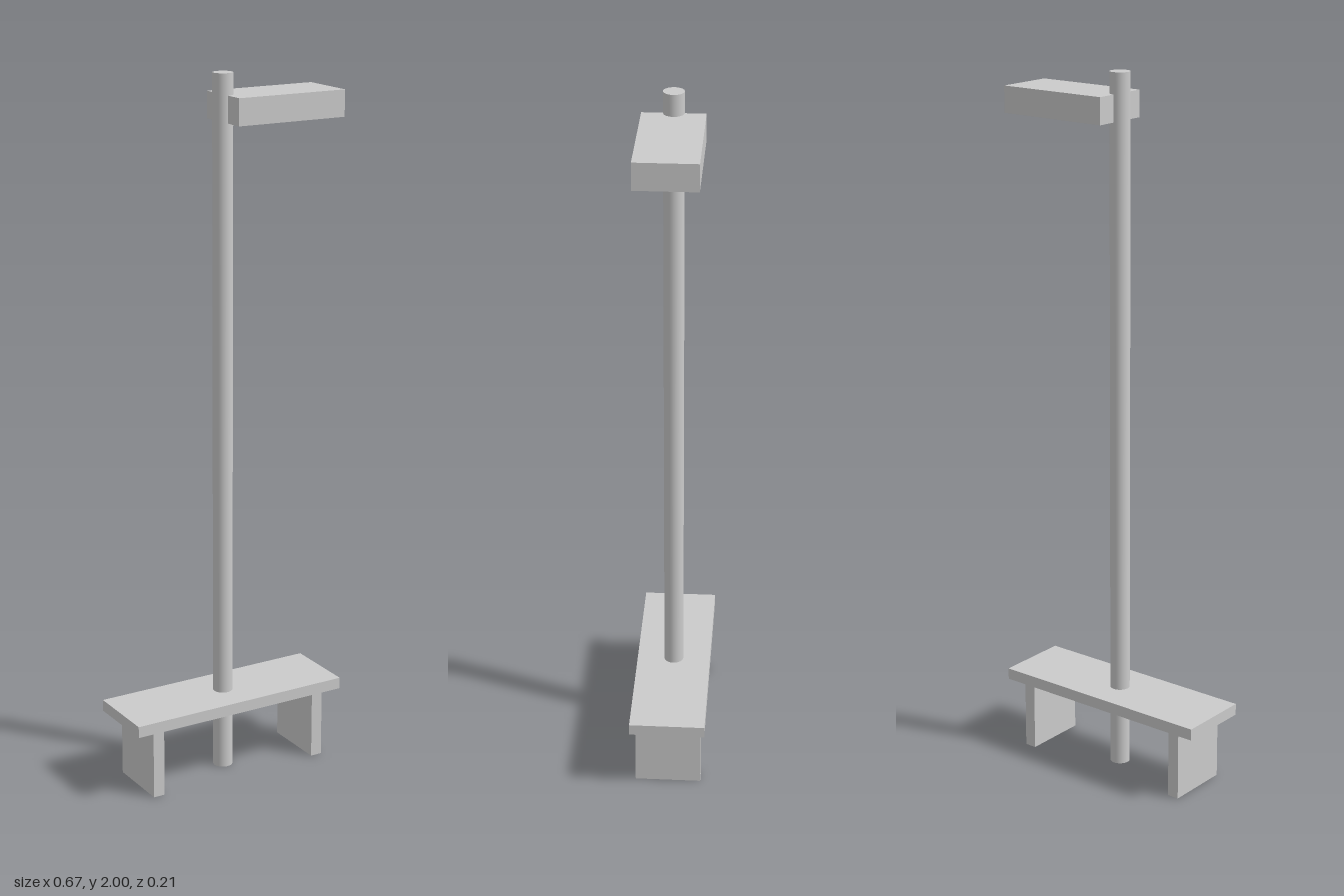
import * as THREE from 'three';

export function createModel() {
  const group = new THREE.Group();
  const material = new THREE.MeshStandardMaterial({ color: 0xcccccc });

  const add = (name, geometry, x, y, z = 0) => {
    const mesh = new THREE.Mesh(geometry, material);
    mesh.name = name;
    mesh.position.set(x, y, z);
    group.add(mesh);
  };

  // Pole running from the ground up through the bench
  add('pole', new THREE.CylinderGeometry(0.028, 0.028, 2, 32), 0, 1, 0);

  // Sign box, reaching from the pole axis to the end of the bench
  add('sign', new THREE.BoxGeometry(0.333, 0.074, 0.168), 0.1667, 1.904);

  // Bench seat with a slab leg near each end
  add('seat', new THREE.BoxGeometry(0.667, 0.033, 0.213), 0, 0.2167);
  for (const [name, side] of [['leftLeg', 1], ['rightLeg', -1]]) {
    add(name, new THREE.BoxGeometry(0.034, 0.2, 0.187), side * 0.263, 0.1);
  }

  return group;
}
